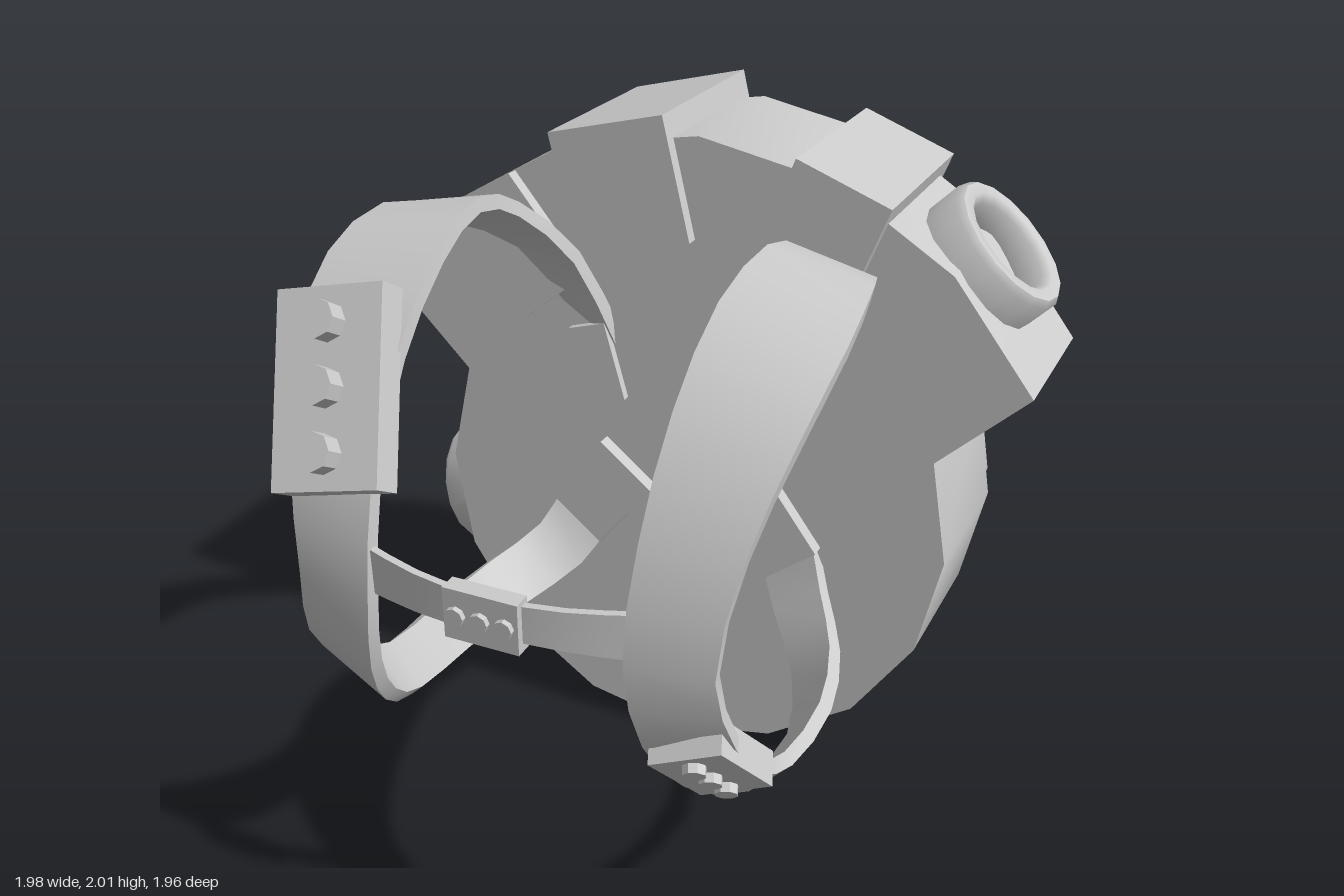
import * as THREE from 'three';
import { toCreasedNormals } from 'three/addons/utils/BufferGeometryUtils.js';

const material = new THREE.MeshStandardMaterial({ color: 0xcccccc, side: THREE.DoubleSide });
const V = (x, y, z) => new THREE.Vector3(x, y, z);

function add(parent, name, geometry, crease = 0.6) {
  const mesh = new THREE.Mesh(toCreasedNormals(geometry, crease), material);
  mesh.name = name;
  parent.add(mesh);
  return mesh;
}

const lathe = (profile, sides) =>
  new THREE.LatheGeometry(profile.map(([r, h]) => new THREE.Vector2(r, h)), sides);

// Strap through pairs of edge points, thickened to its outer side
function band(sections, thickness, steps) {
  const edgeA = new THREE.CatmullRomCurve3(sections.map(s => V(...s[0])));
  const edgeB = new THREE.CatmullRomCurve3(sections.map(s => V(...s[1])));
  const positions = [], index = [];
  for (let i = 0; i <= steps; i++) {
    const t = i / steps;
    const a = edgeA.getPoint(t), b = edgeB.getPoint(t);
    const tangent = edgeA.getTangent(t).add(edgeB.getTangent(t));
    const n = tangent.cross(b.clone().sub(a)).normalize().multiplyScalar(thickness);
    for (const p of [a, b, b.clone().add(n), a.clone().add(n)]) positions.push(p.x, p.y, p.z);
    if (i === steps) break;
    for (let j = 0; j < 4; j++) {
      const p = i * 4 + j, q = i * 4 + (j + 1) % 4;
      index.push(p, q, p + 4, q, q + 4, p + 4);
    }
  }
  const e = steps * 4;
  index.push(0, 2, 1, 0, 3, 2, e, e + 1, e + 2, e, e + 2, e + 3);
  const g = new THREE.BufferGeometry();
  g.setAttribute('position', new THREE.Float32BufferAttribute(positions, 3));
  g.setIndex(index);
  return g;
}

// Plate with a row of bolts along its length
function buckle(parent, name, { size, at, normal, along, bolts }) {
  const group = new THREE.Group();
  group.name = name;
  const z = normal.clone().normalize();
  const x = along.clone().cross(z).normalize();
  group.setRotationFromMatrix(new THREE.Matrix4().makeBasis(x, z.clone().cross(x), z));
  group.position.copy(at);
  add(group, name + 'Plate', new THREE.BoxGeometry(...size));
  for (const k of [-1, 0, 1]) {
    const g = new THREE.CylinderGeometry(bolts.r, bolts.r, bolts.h, 8).rotateX(Math.PI / 2);
    add(group, name + 'Bolt', g).position.set(0, k * bolts.gap, size[2] / 2 + bolts.h / 2 - 0.005);
  }
  parent.add(group);
}

export function createModel() {
  const model = new THREE.Group();
  model.name = 'roundBackpack';

  // Body group leans slightly backwards; its front face is local z = 0
  const pack = new THREE.Group();
  pack.name = 'pack';
  pack.position.set(0, 0.825, -0.255);
  pack.rotation.x = -0.05;
  model.add(pack);

  // Sixteen-sided shell with a wider fan on top
  const outline = [];
  const polar = (r, deg) => {
    const a = THREE.MathUtils.degToRad(deg);
    outline.push(new THREE.Vector2(r * Math.cos(a), r * Math.sin(a)));
  };
  for (let i = -9; i <= 1; i++) polar(0.8, i * 22.5);
  for (const deg of [29, 49, 69, 90, 111, 131, 151]) polar(1.13, deg);
  const shell = new THREE.ExtrudeGeometry(new THREE.Shape(outline), { depth: 0.5, bevelEnabled: false });
  add(pack, 'shell', shell.translate(0, 0, -0.5), 0.45);

  // Back disc with rounded rim, groove, inner ring and recessed centre
  const disc = [
    [0.74, 0.48], [0.74, 0.52], [0.755, 0.54], [0.755, 0.67], [0.73, 0.69], [0.62, 0.69],
    [0.57, 0.67], [0.54, 0.61], [0.49, 0.58], [0.44, 0.6], [0.42, 0.65], [0.39, 0.68],
    [0.33, 0.68], [0.29, 0.66], [0.28, 0.6], [0, 0.6]];
  add(pack, 'backDisc', lathe(disc, 16).rotateX(-Math.PI / 2), 0.75);

  // Clamps wrapped over the fan: x, y, width, height, turn
  for (const [x, y, w, h, turn] of [
    [-0.22, 0.965, 0.36, 0.36, 0.26],
    [0.37, 0.9, 0.29, 0.36, -0.35],
    [-0.55, 0.735, 0.26, 0.36, 0.7]]) {
    const clamp = add(pack, 'clamp', new THREE.BoxGeometry(w, h, 0.6));
    clamp.position.set(x, y, -0.26);
    clamp.rotation.z = turn;
  }

  // Open ports on the upper left and lower right sides
  const port = [[0.21, -0.22], [0.21, -0.02], [0.195, 0], [0.16, 0], [0.14, -0.02], [0.14, -0.1], [0, -0.1]];
  for (const [name, at, dir] of [
    ['upperPort', V(0.83, 1.7, -0.555), V(0.7, 0.72, -0.03)],
    ['lowerPort', V(-0.865, 0.595, -0.5), V(-0.96, -0.27, 0)]]) {
    const mesh = add(model, name, lathe(port, 16), 0.9);
    mesh.position.copy(at);
    mesh.quaternion.setFromUnitVectors(V(0, 1, 0), dir.normalize());
  }

  // Shoulder straps: inner and outer edge from the top mount round to the lower mount
  const loop = [
    [[0.24, 1.3, -0.28], [0.4, 1.38, -0.3]],
    [[0.32, 1.58, -0.18], [0.5, 1.6, -0.18]],
    [[0.39, 1.77, 0], [0.6, 1.73, 0.02]],
    [[0.39, 1.85, 0.2], [0.67, 1.8, 0.22]],
    [[0.37, 1.8, 0.43], [0.69, 1.75, 0.44]],
    [[0.36, 1.63, 0.65], [0.66, 1.61, 0.64]],
    [[0.35, 1.38, 0.81], [0.6, 1.38, 0.79]],
    [[0.34, 1.1, 0.88], [0.56, 1.1, 0.85]],
    [[0.37, 0.87, 0.85], [0.59, 0.9, 0.8]],
    [[0.42, 0.68, 0.73], [0.6, 0.74, 0.67]],
    [[0.49, 0.51, 0.5], [0.6, 0.62, 0.48]],
    [[0.51, 0.45, 0.2], [0.6, 0.59, 0.2]],
    [[0.44, 0.49, -0.02], [0.55, 0.62, -0.02]],
    [[0.32, 0.58, -0.18], [0.46, 0.69, -0.18]],
    [[0.25, 0.7, -0.25], [0.4, 0.82, -0.25]]];
  for (const side of [1, -1]) {
    const flip = ([x, y, z]) => [-x, y, z];
    const sections = side > 0 ? loop : loop.map(([a, b]) => [flip(b), flip(a)]);
    add(model, side > 0 ? 'leftShoulderStrap' : 'rightShoulderStrap', band(sections, 0.04, 28));

    const upper = add(model, 'upperStrapMount', new THREE.BoxGeometry(0.12, 0.24, 0.05));
    upper.position.set(side * 0.29, 1.24, -0.275);
    upper.rotation.set(-0.05, 0, -side * 0.3);
    const lower = add(model, 'lowerStrapMount', new THREE.BoxGeometry(0.21, 0.27, 0.06));
    lower.position.set(side * 0.265, 0.83, -0.24);
    lower.rotation.set(-0.05, 0, side * 0.66);
  }

  // Chest strap joining both loops
  const chest = [[-0.38, 0.065, 0.86], [-0.2, 0.055, 0.91], [0, 0.05, 0.93], [0.2, 0.055, 0.91], [0.38, 0.065, 0.86]];
  add(model, 'chestStrap', band(chest.map(([x, h, z]) => [[x, 1.165 - h, z], [x, 1.165 + h, z]]), 0.02, 8));

  // Buckles
  buckle(model, 'chestBuckle', {
    size: [0.14, 0.2, 0.05], at: V(0, 1.16, 0.94), normal: V(0, 0, 1), along: V(1, 0, 0),
    bolts: { r: 0.025, h: 0.02, gap: 0.065 } });
  buckle(model, 'shoulderPlate', {
    size: [0.3, 0.5, 0.09], at: V(-0.49, 1.57, 0.76), normal: V(-0.05, 0.53, 0.85), along: V(-0.12, 0.44, -0.28),
    bolts: { r: 0.05, h: 0.06, gap: 0.16 } });
  buckle(model, 'strapBuckle', {
    size: [0.2, 0.26, 0.09], at: V(0.52, 0.8, 0.79), normal: V(0.3, -0.55, 0.78), along: V(-0.05, 0.13, 0.1),
    bolts: { r: 0.03, h: 0.03, gap: 0.08 } });

  return model;
}
